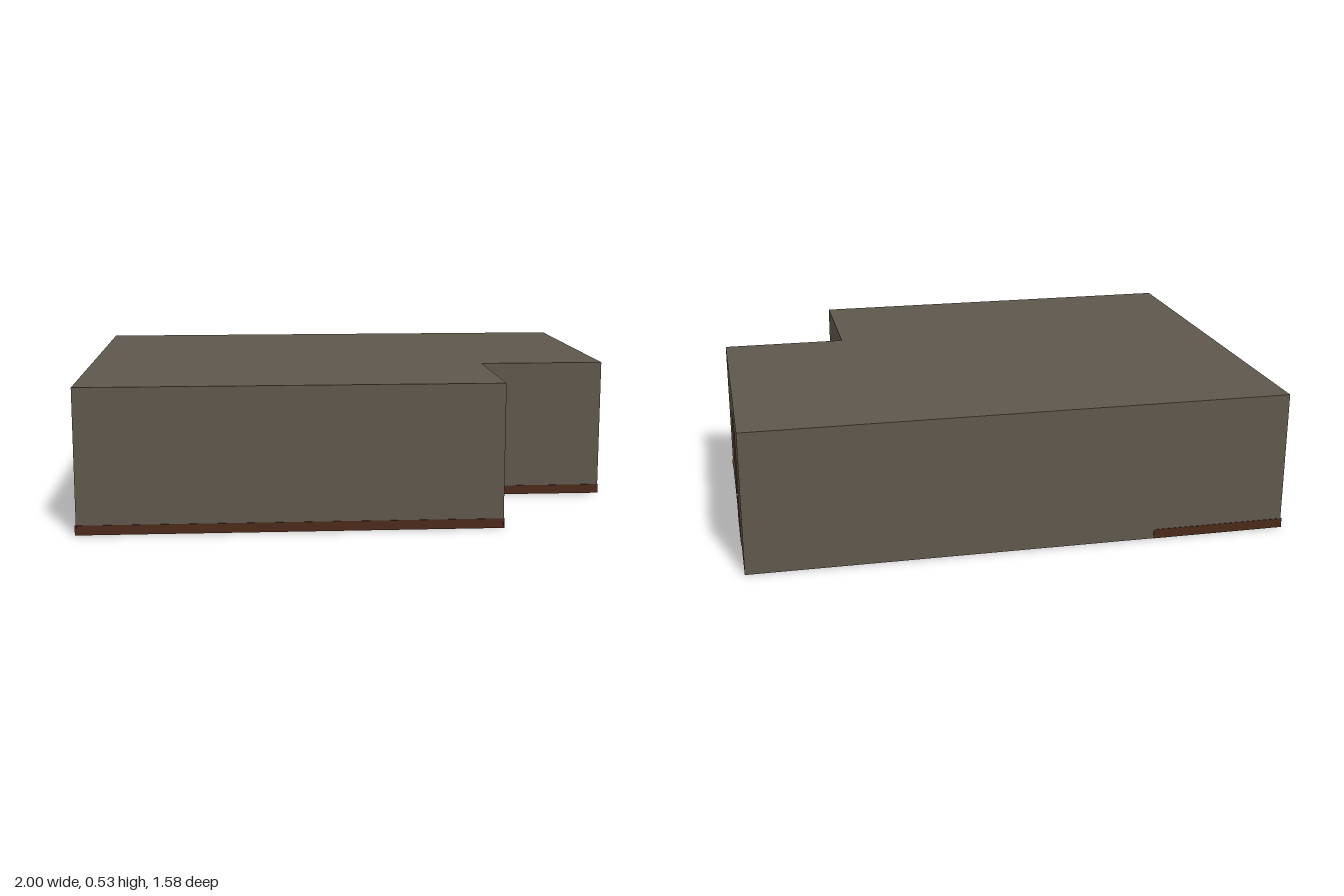
import * as THREE from 'three';

const HEIGHT = 0.525;
const SKIN = 0.002; // thin trim standing just proud of the walls

const mat = (color) => new THREE.MeshStandardMaterial({ color, flatShading: true });

export function createModel() {
  const room = new THREE.Group();
  room.name = 'room';
  const wall = mat(0x5f574c);
  const wood = mat(0x4a2a1a);
  const doorPaint = mat(0x5c4033);
  const matCloth = mat(0x4a3212);
  const metal = mat(0xa09a90);

  const add = (name, geometry, material, x = 0, y = 0, z = 0) => {
    const mesh = new THREE.Mesh(geometry, material);
    mesh.name = name;
    mesh.position.set(x, y, z);
    room.add(mesh);
    return mesh;
  };

  // L-shaped shell: plan drawn as (x, -z), extruded upwards
  const plan = [[-0.998, -0.788], [0.52, -0.788], [0.52, -0.27], [0.995, -0.27], [0.995, 0.79], [-0.998, 0.79]];
  const shape = new THREE.Shape(plan.map(([x, y]) => new THREE.Vector2(x, y)));
  const shell = new THREE.ExtrudeGeometry(shape, { depth: HEIGHT, bevelEnabled: false });
  shell.rotateX(-Math.PI / 2);
  add('walls', shell, wall);

  // Skirting boards along the wall runs: [x0, z0, x1, z1]
  const runs = [
    [-1, 0.788, 0.52, 0.788],
    [0.52, 0.27, 0.52, 0.79],
    [0.52, 0.27, 0.995, 0.27],
    [-0.998, -0.79, -0.998, 0.79],
    [-1, -0.79, -0.5, -0.79],
  ];
  for (const [x0, z0, x1, z1] of runs) {
    const g = new THREE.BoxGeometry(x1 - x0 + 2 * SKIN, 0.035, z1 - z0 + 2 * SKIN);
    add('skirting', g, wood, (x0 + x1) / 2, 0.0175, (z0 + z1) / 2);
  }

  // Door, its knob and the mat beneath the doorway
  add('door', new THREE.BoxGeometry(2 * SKIN, 0.435, 0.255), doorPaint, 0.995, 0.2175, -0.4125);
  add('doorKnob', new THREE.SphereGeometry(0.008, 16, 12), metal, 0.993, 0.19, -0.51);
  add('doorMat', new THREE.BoxGeometry(0.235, 2 * SKIN, 0.24), matCloth, 0.8775, 0.001, -0.39);

  return room;
}
